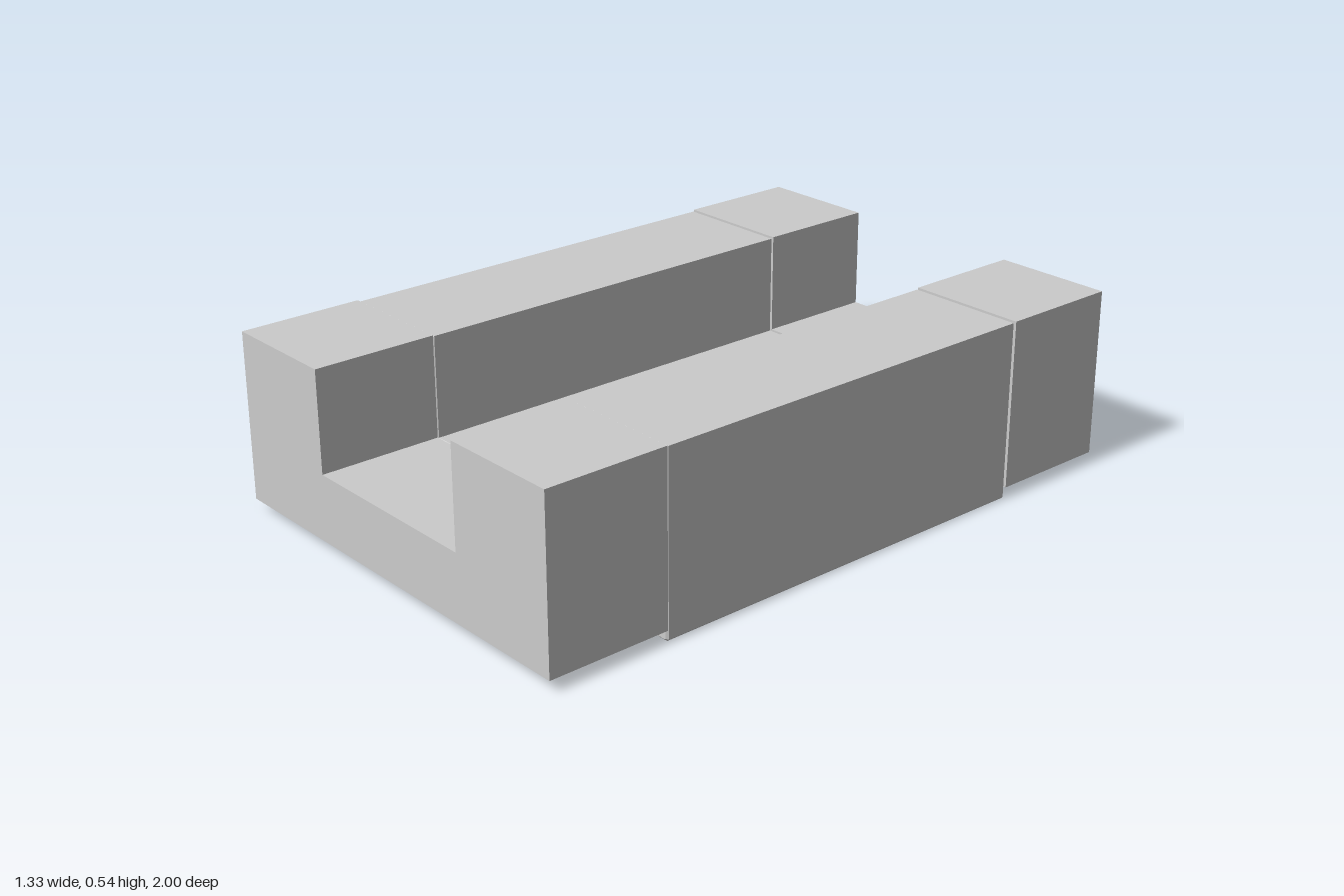
import * as THREE from 'three';

const BEVEL = 0.006;       // small chamfer on the ends of the block
const BLOCK_Z = 0.63;      // half length of the steel block
const HOLE_R = 0.083, HOLE_DEPTH = 0.25;
const HOLE_X = 0.5, HOLE_Z = 0.34;

const grey = new THREE.MeshStandardMaterial({ color: 0xcccccc });
const greyDouble = new THREE.MeshStandardMaterial({ color: 0xcccccc, side: THREE.DoubleSide });

function addMesh(parent, name, geometry, material = grey) {
  const mesh = new THREE.Mesh(geometry, material);
  mesh.name = name;
  parent.add(mesh);
  return mesh;
}

// Symmetric cross-section from the points of its +x half, listed bottom to top
function mirroredShape(half) {
  const left = half.map(([x, y]) => [-x, y]).reverse();
  return new THREE.Shape([...half, ...left].map(([x, y]) => new THREE.Vector2(x, y)));
}

// Drop the flat faces at y = 0 so drilled faces can take their place
function withoutBottom(geometry) {
  const p = geometry.attributes.position;
  const kept = [];
  for (let i = 0; i < p.count; i += 3) {
    if ([0, 1, 2].every((k) => Math.abs(p.getY(i + k)) < 1e-5)) continue;
    for (let k = 0; k < 3; k++) kept.push(p.getX(i + k), p.getY(i + k), p.getZ(i + k));
  }
  const out = new THREE.BufferGeometry();
  out.setAttribute('position', new THREE.Float32BufferAttribute(kept, 3));
  out.computeVertexNormals();
  return out;
}

export function createModel() {
  const model = new THREE.Group();
  model.name = 'linearGuideCarriage';

  // Central block: channel section with two mounting pads below
  const block = new THREE.Group();
  block.name = 'block';
  model.add(block);
  const blockShape = mirroredShape([
    [0.302, 0.035], [0.337, 0], [0.655, 0], [0.661, 0.006],
    [0.661, 0.531], [0.302, 0.531], [0.302, 0.232],
  ]);
  const flatZ = BLOCK_Z - BEVEL;
  const blockGeometry = new THREE.ExtrudeGeometry(blockShape, {
    depth: 2 * flatZ, bevelEnabled: true, bevelSegments: 1,
    bevelThickness: BEVEL, bevelSize: BEVEL, bevelOffset: -BEVEL,
  });
  blockGeometry.translate(0, 0, -flatZ);
  addMesh(block, 'blockBody', withoutBottom(blockGeometry));

  // Drilled pad faces and blind mounting holes
  for (const side of [1, -1]) {
    const pad = new THREE.Shape([
      [0.337, -flatZ], [0.655, -flatZ], [0.655, flatZ], [0.337, flatZ],
    ].map(([x, z]) => new THREE.Vector2(side * x, z)));
    for (const end of [1, -1]) {
      const x = side * HOLE_X, z = end * HOLE_Z;
      pad.holes.push(new THREE.Path().absarc(x, z, HOLE_R, 0, Math.PI * 2, true));
      addMesh(block, 'holeWall',
        new THREE.CylinderGeometry(HOLE_R, HOLE_R, HOLE_DEPTH, 48, 1, true), greyDouble)
        .position.set(x, HOLE_DEPTH / 2, z);
      addMesh(block, 'holeEnd', new THREE.CircleGeometry(HOLE_R, 48).rotateX(Math.PI / 2))
        .position.set(x, HOLE_DEPTH, z);
    }
    addMesh(block, 'padFace', new THREE.ShapeGeometry(pad, 24).rotateX(Math.PI / 2));
  }

  // End caps: plain channel section, raised clear of the ground
  const capShape = mirroredShape([
    [0.665, 0.035], [0.665, 0.535], [0.3, 0.535], [0.3, 0.235],
  ]);
  const capGeometry = new THREE.ExtrudeGeometry(capShape, {
    depth: 1 - BLOCK_Z, bevelEnabled: false,
  });
  addMesh(model, 'frontEndCap', capGeometry).position.z = BLOCK_Z;
  addMesh(model, 'backEndCap', capGeometry).position.z = -1;

  return model;
}
